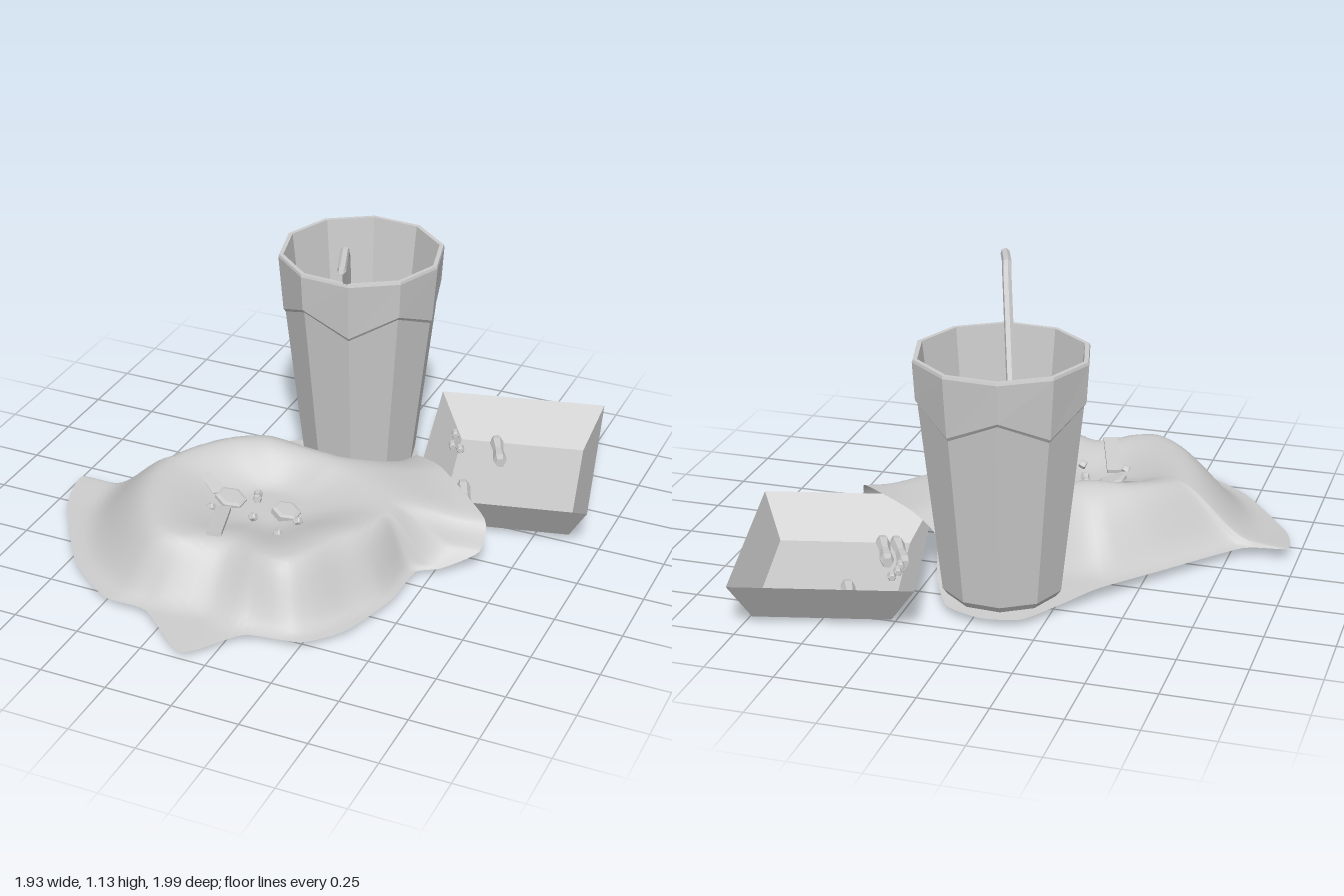
import * as THREE from 'three';

const flat = new THREE.MeshStandardMaterial({ color: 0xcccccc, flatShading: true, side: THREE.DoubleSide });
const smooth = new THREE.MeshStandardMaterial({ color: 0xcccccc, side: THREE.DoubleSide });
const V = (x, y, z) => new THREE.Vector3(x, y, z);

function add(parent, name, geometry, material = flat) {
  const mesh = new THREE.Mesh(geometry, material);
  mesh.name = name;
  parent.add(mesh);
  return mesh;
}

// Skin closed rings of equal length, optionally capping the first and last.
function loft(rings, capStart, capEnd) {
  const n = rings[0].length, pos = [], idx = [];
  rings.flat().forEach(p => pos.push(p.x, p.y, p.z));
  for (let i = 0; i < rings.length - 1; i++) for (let j = 0; j < n; j++) {
    const a = i * n + j, b = i * n + (j + 1) % n;
    idx.push(a, a + n, b, b, a + n, b + n);
  }
  const cap = (ring, base, flip) => {
    const c = ring.reduce((s, p) => s.add(p), V(0, 0, 0)).divideScalar(n), k = pos.length / 3;
    pos.push(c.x, c.y, c.z);
    for (let j = 0; j < n; j++) {
      const a = base + j, b = base + (j + 1) % n;
      idx.push(k, flip ? b : a, flip ? a : b);
    }
  };
  if (capStart) cap(rings[0], 0, false);
  if (capEnd) cap(rings.at(-1), (rings.length - 1) * n, true);
  const g = new THREE.BufferGeometry();
  g.setAttribute('position', new THREE.Float32BufferAttribute(pos, 3));
  g.setIndex(idx);
  g.computeVertexNormals();
  return g;
}

// Ten-sided tumbler with a zigzag step below the rim
function makeCup() {
  const cup = new THREE.Group();
  cup.name = 'cup';
  const ring = (r, y) => Array.from({ length: 10 }, (_, i) => {
    const a = THREE.MathUtils.degToRad(4 + 36 * i);
    const h = typeof y === 'number' ? y : y(i);
    const rad = typeof r === 'number' ? r : r(h);
    return V(rad * Math.cos(a), h, rad * Math.sin(a));
  });
  const zig = i => (i % 2 ? 0.78 : 0.7);
  const lower = y => 0.219 + (y - 0.08) * 0.113;
  add(cup, 'cupBody', loft([
    ring(0.2, 0.05), ring(0.219, 0.075), ring(lower, zig),
    ring(y => lower(y) + 0.007, i => zig(i) + 0.012),
    ring(0.315, 0.93), ring(0.312, 0.94), ring(0.296, 0.94), ring(0.2, 0.1),
  ], true, true));
  cup.position.set(-0.053, 0, -0.463);
  return cup;
}

// Bent drinking straw
function makeStraw() {
  const path = new THREE.CurvePath();
  const pts = [V(-0.155, 0.17, -0.61), V(0.038, 1.08, -0.105), V(0.052, 1.125, -0.06), V(0.1, 1.118, 0.075)];
  path.add(new THREE.LineCurve3(pts[0], pts[1]));
  path.add(new THREE.QuadraticBezierCurve3(pts[1], V(0.048, 1.122, -0.08), pts[2]));
  path.add(new THREE.LineCurve3(pts[2], pts[3]));
  return new THREE.TubeGeometry(path, 60, 0.017, 6, false);
}

// Open tray with sloping sides
function makeTray() {
  const rect = (w, d, y, x = 0) => [[1, -1], [1, 1], [-1, 1], [-1, -1]]
    .map(([sx, sz]) => V(x + sx * w / 2, y, sz * d / 2));
  return loft([rect(0.486, 0.635, 0.028, 0.013), rect(0.646, 0.828, 0.185)], true, false);
}

// Draped wrapper: a hollow, a ridge around it and a skirt falling to a ragged edge
function makeWrapper() {
  // edge points: x, z, height; the back corner lies under the cup
  const edge = new THREE.CatmullRomCurve3([
    [0.64, 0.05, 0.08], [0.53, 0.145, 0.035], [0.45, 0.2, 0.03], [0.44, 0.4, 0.03], [0.37, 0.64, 0.03],
    [0.255, 0.77, 0.03], [0.055, 0.81, 0.03], [-0.1, 0.99, 0.028], [-0.325, 0.82, 0.035], [-0.5, 0.8, 0.03],
    [-0.71, 0.64, 0.03], [-0.925, 0.32, 0.04], [-0.965, 0.135, 0.055], [-0.8, 0.115, 0.045],
    [-0.55, -0.18, 0.05], [-0.385, -0.395, 0.06], [-0.28, -0.52, 0.04], [-0.18, -0.66, 0.035],
    [-0.04, -0.69, 0.035], [0.1, -0.64, 0.04], [0.18, -0.5, 0.07], [0.23, -0.36, 0.17],
    [0.37, -0.25, 0.21], [0.63, -0.02, 0.18],
  ].map(([x, z, y]) => V(x, y, z)), true, 'catmullrom', 0.3);
  // ridge radius, ridge height and foot radius every 30 degrees, from +x towards +z
  const ridge = new THREE.CatmullRomCurve3([
    [0.44, 0.24, 0.6], [0.4, 0.25, 0.58], [0.46, 0.25, 0.64], [0.33, 0.225, 0.57],
    [0.46, 0.25, 0.66], [0.43, 0.255, 0.7], [0.42, 0.26, 0.72], [0.36, 0.285, 0.66],
    [0.29, 0.305, 0.62], [0.28, 0.28, 0.52], [0.31, 0.265, 0.62], [0.4, 0.25, 0.8],
  ].map(p => V(...p)), true);
  const step = THREE.MathUtils.smoothstep, cx = -0.12, cz = 0.22, n = 144, rings = [];
  for (let i = 30; i >= 1; i--) {
    const t = i / 30;
    rings.push(Array.from({ length: n }, (_, j) => {
      const e = edge.getPoint(j / n), dx = e.x - cx, dz = e.z - cz, R = Math.hypot(dx, dz);
      const top = ridge.getPoint((Math.atan2(dz, dx) / (2 * Math.PI) + 1) % 1);
      const x = cx + dx * t, z = cz + dz * t, r = R * t;
      let y = 0.18 + (top.y - 0.18) * step(r, 0.1, top.x * 0.95);
      // steep fall to the foot, mixed with a gentle slope out to the edge
      const slope = THREE.MathUtils.clamp((r - top.x) / (R - top.x), 0, 1);
      y += (e.y - y) * (0.87 * step(r, top.x, Math.min(R * 0.98, top.z)) + 0.13 * slope);
      // sag under the front of the cup
      y -= 0.045 * Math.exp(-((x / 0.11) ** 2) - ((z + 0.33) / 0.09) ** 2);
      return V(x, Math.max(y, 0.002), z);
    }));
  }
  return loft(rings, false, true);
}

// Low-poly scrap with a narrowed waist, from point a to point b
function scrap(parent, name, a, b, r, waist = 0.75) {
  const len = a.distanceTo(b);
  const profile = [[0, -0.5], [r * 0.75, -0.5], [r, -0.35], [r * waist, 0], [r, 0.35], [r * 0.75, 0.5], [0, 0.5]]
    .map(([x, y]) => new THREE.Vector2(x, y * len));
  const mesh = add(parent, name, new THREE.LatheGeometry(profile, 6));
  mesh.position.copy(a).lerp(b, 0.5);
  mesh.quaternion.setFromUnitVectors(V(0, 1, 0), b.clone().sub(a).normalize());
}

export function createModel() {
  const model = new THREE.Group();
  model.name = 'fastFoodLitter';
  model.add(makeCup());
  add(model, 'straw', makeStraw());
  const tray = add(model, 'tray', makeTray());
  tray.position.set(0.553, 0, -0.521);
  tray.rotation.y = 0.235;
  add(model, 'wrapper', makeWrapper(), smooth);

  // Chips left in the tray
  for (const [x1, z1, x2, z2] of [[0.4, -0.78, 0.48, -0.61], [0.33, -0.41, 0.44, -0.21], [0.4, -0.41, 0.49, -0.22]])
    scrap(model, 'trayChip', V(x1, 0.06, z1), V(x2, 0.06, z2), 0.027);
  // Crumbs against the tray wall
  for (const [x, y, z] of [[0.285, 0.14, -0.62], [0.3, 0.12, -0.565], [0.32, 0.1, -0.585], [0.3, 0.13, -0.55]])
    scrap(model, 'trayCrumb', V(x - 0.008, y, z - 0.02), V(x + 0.008, y, z + 0.015), 0.015, 1);

  // Slices, strips and crumbs in the hollow of the wrapper
  for (const [x, z, r] of [[-0.27, 0.25, 0.06], [-0.045, 0.25, 0.055]])
    scrap(model, 'slice', V(x, 0.175, z), V(x + 0.008, 0.205, z), r, 1);
  for (const [p, q, w] of [
    [V(-0.46, 0.25, 0.15), V(-0.32, 0.2, 0.25), 0.04],
    [V(-0.255, 0.2, 0.33), V(-0.18, 0.238, 0.56), 0.055],
  ]) {
    const strip = add(model, 'strip', new THREE.BoxGeometry(w, 0.015, p.distanceTo(q)));
    strip.position.copy(p).lerp(q, 0.5);
    strip.lookAt(q);
  }
  scrap(model, 'wrapperChip', V(-0.185, 0.2, 0.18), V(-0.16, 0.21, 0.245), 0.018);
  for (const [x, z] of [[-0.295, 0.35], [-0.125, 0.35], [0.005, 0.415], [0.035, 0.31]])
    scrap(model, 'wrapperCrumb', V(x - 0.012, 0.2, z), V(x + 0.012, 0.212, z), 0.016, 1);
  return model;
}
